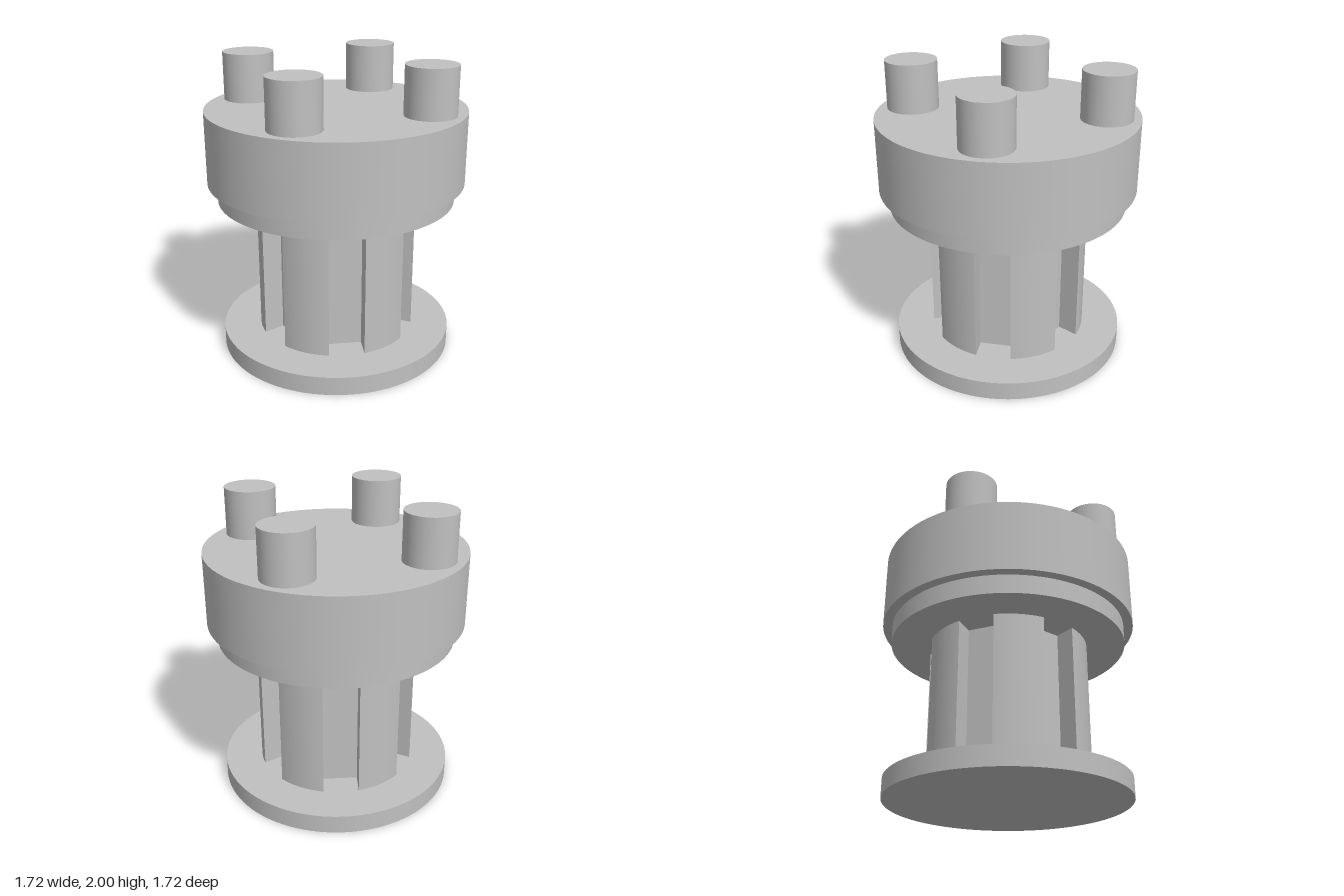
import * as THREE from 'three';
import { toCreasedNormals } from 'three/addons/utils/BufferGeometryUtils.js';

export function createModel() {
  const model = new THREE.Group();
  model.name = 'splinedHub';
  const grey = new THREE.MeshStandardMaterial({ color: 0xc0c0c0 });
  grey.name = 'plain grey';

  const add = (name, geometry) => {
    const mesh = new THREE.Mesh(geometry, grey);
    mesh.name = name;
    model.add(mesh);
    return mesh;
  };
  const disc = (name, radius, bottom, top, x = 0, z = 0) =>
    add(name, new THREE.CylinderGeometry(radius, radius, top - bottom, 96))
      .position.set(x, (bottom + top) / 2, z);

  // Base flange, collar and head
  disc('baseFlange', 0.796, 0, 0.127);
  disc('collar', 0.796, 1.067, 1.194);
  disc('head', 0.86, 1.194, 1.68);

  // Column with six straight-sided, flat-bottomed slots
  const radius = 0.539, slotHalf = 0.119, slotFloor = 0.381;
  const toothHalf = Math.PI / 6 - Math.asin(slotHalf / radius);
  const outline = new THREE.Shape();
  for (let i = 0; i < 6; i++) {
    const tooth = Math.PI / 2 + i * Math.PI / 3;
    const slot = tooth + Math.PI / 6;
    const c = Math.cos(slot), s = Math.sin(slot);
    // Rounded tooth face, then across the floor of the slot
    outline.absarc(0, 0, radius, tooth - toothHalf, tooth + toothHalf, false);
    for (const side of [-slotHalf, slotHalf]) {
      outline.lineTo(slotFloor * c - side * s, slotFloor * s + side * c);
    }
  }
  outline.closePath();
  const column = new THREE.ExtrudeGeometry(outline, {
    depth: 0.94, bevelEnabled: false, curveSegments: 12,
  });
  column.rotateX(-Math.PI / 2);
  add('slottedColumn', toCreasedNormals(column, 0.3)).position.y = 0.127;

  // Four pins on top of the head
  for (let i = 0; i < 4; i++) {
    const a = i * Math.PI / 2;
    disc(`pin${i + 1}`, 0.17, 1.68, 2, 0.638 * Math.cos(a), 0.638 * Math.sin(a));
  }
  return model;
}
